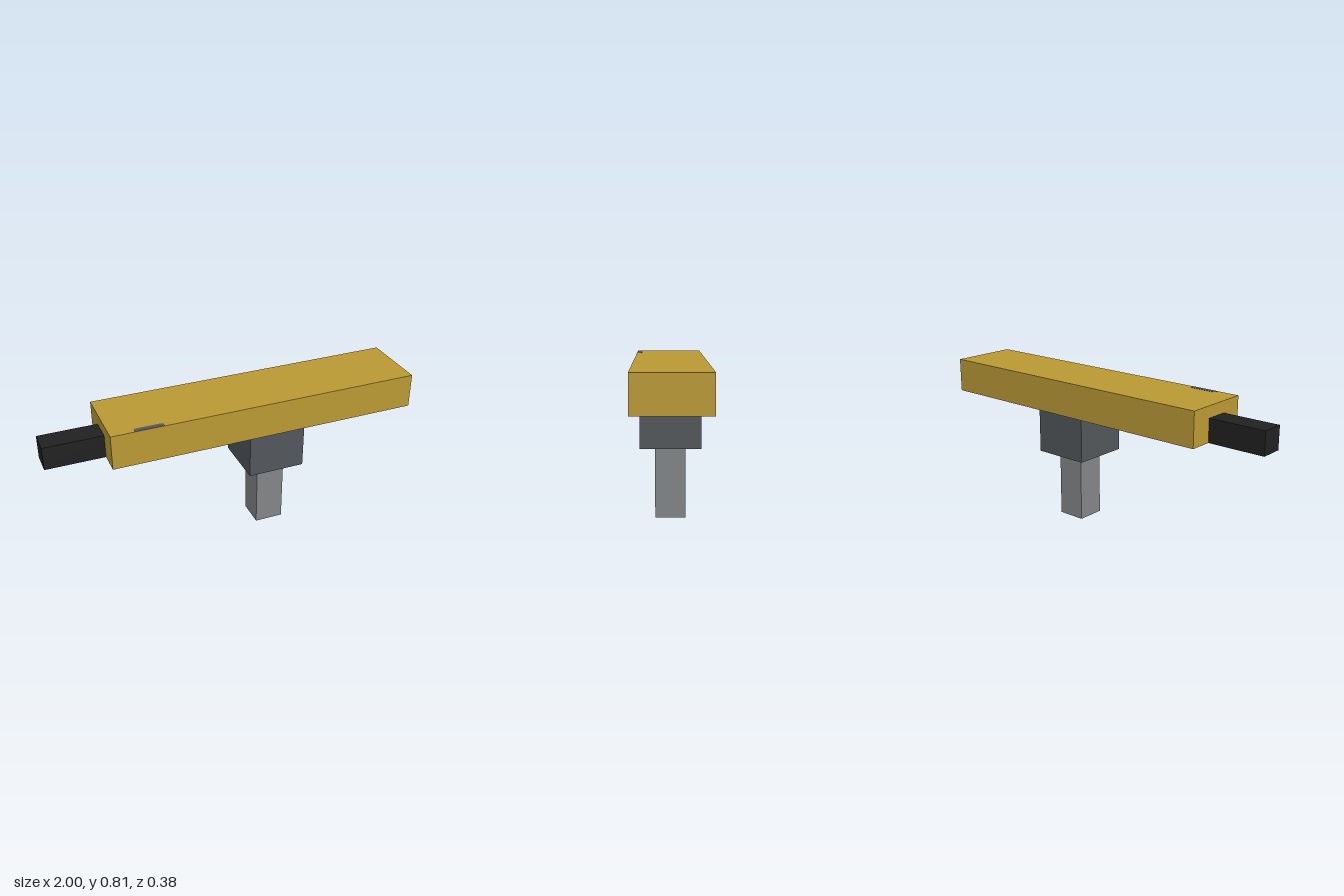
import * as THREE from 'three';

const paint = (name, color) => {
  const m = new THREE.MeshStandardMaterial({ color });
  m.name = name;
  return m;
};

export function createModel() {
  const group = new THREE.Group();
  const gold = paint('gold', 0xba9934);
  const black = paint('black', 0x212121);
  const darkGrey = paint('dark grey', 0x52565a);
  const grey = paint('grey', 0x828587);

  // Box given by its extents in x and y and its half depth in z
  const block = (name, material, x0, x1, y0, y1, halfZ) => {
    const mesh = new THREE.Mesh(new THREE.BoxGeometry(x1 - x0, y1 - y0, 2 * halfZ), material);
    mesh.name = name;
    mesh.position.set((x0 + x1) / 2, (y0 + y1) / 2, 0);
    group.add(mesh);
  };

  block('body', gold, -0.6875, 1, 0.625, 0.8125, 0.1875);
  block('barrel', black, -1, -0.6875, 0.625, 0.75, 0.0625);
  block('housing', darkGrey, 0.0625, 0.375, 0.375, 0.625, 0.15625);
  block('grip', grey, 0.1406, 0.2969, 0, 0.375, 0.078);

  // Small inlay along the front edge of the top, with clipped inner corners
  const outline = new THREE.Shape([
    [-0.565, -0.187], [-0.41, -0.187], [-0.41, -0.167],
    [-0.417, -0.158], [-0.558, -0.158], [-0.565, -0.167],
  ].map(([x, y]) => new THREE.Vector2(x, y)));
  const inlay = new THREE.Mesh(
    new THREE.ExtrudeGeometry(outline, { depth: 0.004, bevelEnabled: false }), darkGrey);
  inlay.name = 'topInlay';
  inlay.rotation.x = -Math.PI / 2;
  inlay.position.y = 0.8095;
  group.add(inlay);

  return group;
}
